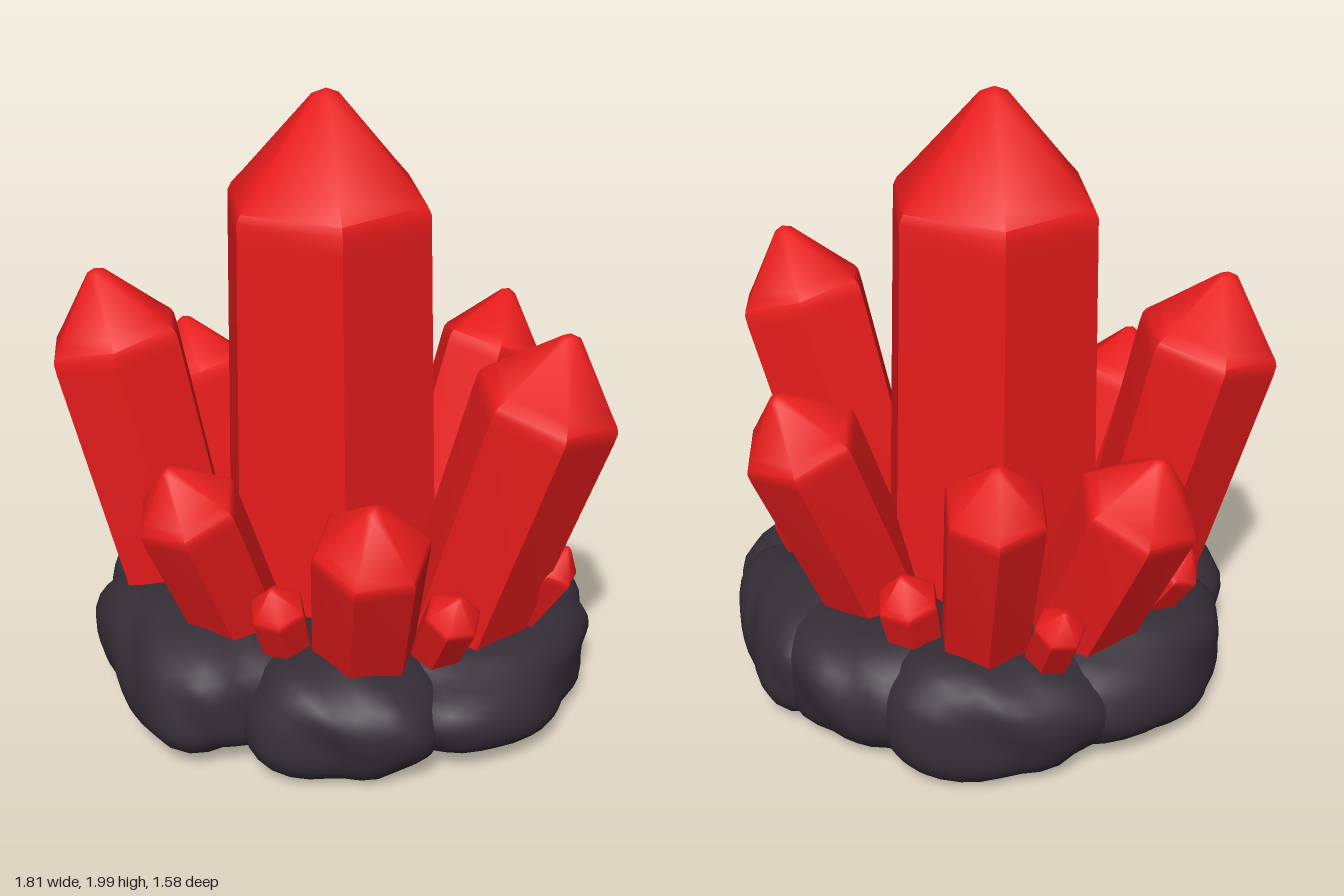
import * as THREE from 'three';
import { mergeVertices, toCreasedNormals } from 'three/addons/utils/BufferGeometryUtils.js';

const UP = new THREE.Vector3(0, 1, 0);

// Six-sided crystal from base to tip; r is the radius at the shoulder.
// The long edges stay sharp, the shoulder and point are softened.
function crystal(name, base, tip, r, rootScale, spin, material) {
  const a = new THREE.Vector3(...base), dir = new THREE.Vector3(...tip).sub(a);
  const h = dir.length(), s = h - r * 1.02;
  const profile = [
    [0, 0], [r * rootScale, 0], [r * 1.005, s - r * 0.2], [r, s - r * 0.03],
    [r * 0.96, s + r * 0.05], [r * 0.82, s + r * 0.2], [r * 0.14, h - r * 0.06], [0, h],
  ].map(([x, y]) => new THREE.Vector2(x, y));
  const geo = toCreasedNormals(new THREE.LatheGeometry(profile, 6).rotateY(spin), 0.9);
  const mesh = new THREE.Mesh(geo, material);
  mesh.name = name;
  mesh.position.copy(a);
  mesh.quaternion.setFromUnitVectors(UP, dir.normalize());
  return mesh;
}

// Lumpy boulder: a boxy ellipsoid with a gentle wave, flat underneath
function boulder(x, z, across, deep, height, seed, material) {
  let geo = new THREE.IcosahedronGeometry(1, 7);
  geo.deleteAttribute('uv');
  geo.deleteAttribute('normal');
  geo = mergeVertices(geo, 1e-4);
  const p = geo.attributes.position, v = new THREE.Vector3();
  for (let i = 0; i < p.count; i++) {
    v.fromBufferAttribute(p, i);
    const n = (Math.abs(v.x) ** 2.6 + Math.abs(v.y) ** 2.6 + Math.abs(v.z) ** 2.6) ** (1 / 2.6);
    const wave = Math.sin(v.x * 4 + seed * 2.1) * Math.sin(v.z * 4 + seed) +
      Math.sin(v.y * 5 + v.x * 3 + seed * 1.7) * 0.6 +
      Math.abs(Math.sin(v.x * 5 - v.z * 3 + v.y * 2 + seed)) - 0.6;
    v.multiplyScalar((1 + wave * 0.045) / n);
    p.setXYZ(i, v.x * across, Math.max(0.01, (v.y + 0.96) * height / 2), v.z * deep);
  }
  geo.computeVertexNormals();
  const mesh = new THREE.Mesh(geo, material);
  mesh.name = 'boulder';
  mesh.position.set(x, 0, z);
  mesh.rotation.y = Math.atan2(x, z);
  return mesh;
}

export function createModel() {
  const model = new THREE.Group();
  model.name = 'crystalCluster';
  const red = new THREE.MeshStandardMaterial({ color: 0xe91c1c });
  red.name = 'crystalRed';
  const dark = new THREE.MeshStandardMaterial({ color: 0x342d36 });
  dark.name = 'darkRock';

  // Ring of boulders and a low core: x, z, half width, half depth, height
  const rocks = new THREE.Group();
  rocks.name = 'rockBase';
  [
    [-0.35, 0.4, 0.43, 0.29, 0.44],
    [-0.48, -0.08, 0.42, 0.35, 0.42],
    [-0.26, -0.44, 0.38, 0.29, 0.42],
    [0.1, -0.43, 0.36, 0.31, 0.42],
    [0.41, -0.33, 0.36, 0.26, 0.4],
    [0.48, 0.08, 0.44, 0.32, 0.37],
    [0.17, 0.43, 0.33, 0.31, 0.39],
    [0.04, 0.04, 0.3, 0.27, 0.26],
  ].forEach((b, i) => rocks.add(boulder(...b, i + 1, dark)));
  model.add(rocks);

  // Tall centre crystal
  model.add(crystal('mainCrystal', [-0.055, 0.18, -0.01], [-0.06, 2, 0], 0.337, 1.12, Math.PI / 6, red));

  // Leaning crystals around it: base, tip, radius, spin
  [
    [[-0.45, 0.2, 0.22], [-0.735, 1.43, 0.26], 0.225, Math.PI / 6],
    [[-0.38, 0.2, -0.2], [-0.73, 1.06, -0.3], 0.19, Math.PI / 6],
    [[0.4, 0.2, 0.1], [0.765, 1.385, 0.13], 0.225, Math.PI / 6],
    [[0.16, 0.2, -0.28], [0.35, 1.2, -0.63], 0.185, 0.4],
    [[-0.2, 0.2, -0.4], [-0.37, 1.14, -0.66], 0.16, 0.5],
    [[-0.16, 0.2, 0.36], [-0.3, 1, 0.65], 0.165, 0.4],
    [[0.2, 0.2, 0.36], [0.34, 0.98, 0.62], 0.18, 0.1],
  ].forEach(([base, tip, r, spin]) => model.add(crystal('leaningCrystal', base, tip, r, 0.88, spin, red)));

  // Small crystals at the foot
  [
    [[0, 0.22, 0.43], [0, 0.62, 0.59], 0.09, 0.5],
    [[0.38, 0.22, 0.27], [0.54, 0.61, 0.42], 0.09, 0.2],
    [[0.52, 0.22, 0.04], [0.77, 0.64, 0.05], 0.085, 0],
    [[0.48, 0.22, -0.13], [0.58, 0.61, -0.2], 0.11, 0.3],
    [[0.38, 0.22, -0.25], [0.43, 0.65, -0.3], 0.065, 0.6],
    [[-0.02, 0.22, -0.45], [-0.02, 0.64, -0.58], 0.1, 0.5],
    [[-0.38, 0.22, -0.38], [-0.53, 0.62, -0.53], 0.08, 0.1],
    [[-0.5, 0.2, -0.02], [-0.76, 0.63, -0.06], 0.085, 0.3],
  ].forEach(([base, tip, r, spin]) => model.add(crystal('smallCrystal', base, tip, r, 0.85, spin, red)));

  return model;
}
